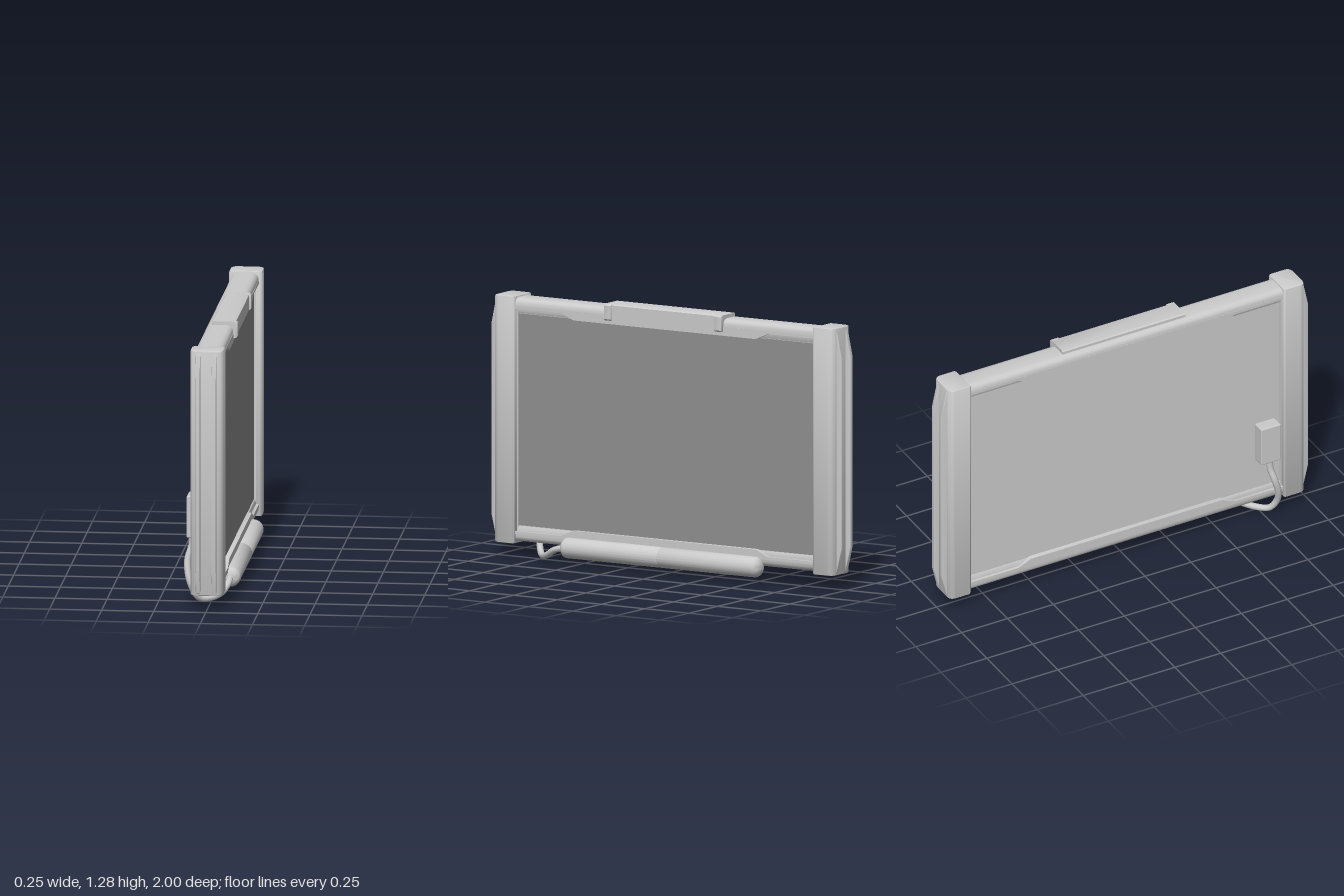
import * as THREE from 'three';
import { toCreasedNormals } from 'three/addons/utils/BufferGeometryUtils.js';
import { RoundedBoxGeometry } from 'three/addons/geometries/RoundedBoxGeometry.js';

const grey = new THREE.MeshStandardMaterial({ color: 0xcccccc });
const dark = new THREE.MeshStandardMaterial({ color: 0x909090 });

const MID = 0.677; // height of the mirror line between top and bottom rails

export function createModel() {
  const model = new THREE.Group();

  const add = (name, geometry, x = 0, y = 0, z = 0, material = grey) => {
    const mesh = new THREE.Mesh(geometry, material);
    mesh.name = name;
    mesh.position.set(x, y, z);
    model.add(mesh);
    return mesh;
  };
  const box = (name, x0, x1, y0, y1, z0, z1, material) =>
    add(name, new THREE.BoxGeometry(x1 - x0, y1 - y0, z1 - z0),
      (x0 + x1) / 2, (y0 + y1) / 2, (z0 + z1) / 2, material);
  const extrude = (points, depth, bevel = 0) => {
    const shape = new THREE.Shape(points.map(([a, b]) => new THREE.Vector2(a, b)));
    const geometry = new THREE.ExtrudeGeometry(shape, {
      depth: depth - 2 * bevel, bevelEnabled: bevel > 0, bevelSize: bevel,
      bevelThickness: bevel, bevelOffset: -bevel, bevelSegments: 2
    });
    geometry.translate(0, 0, bevel - depth / 2);
    return toCreasedNormals(geometry, 0.6);
  };
  // Outline in (z, y), thickness across x
  const sidePlate = (points, width, bevel) => extrude(points, width, bevel).rotateY(-Math.PI / 2);

  // Panel with the darker screen on its +x face
  box('panel', -0.045, 0.038, 0.12, 1.235, -0.86, 0.86);
  box('screen', 0.036, 0.042, 0.165, 1.189, -0.846, 0.846, dark);

  // Top and bottom rails: rounded bar, stepped strip and wide trapezoid lip
  for (const top of [true, false]) {
    const flip = ([a, y]) => [a, top ? y : 2 * MID - y];
    const side = top ? 'top' : 'bottom';
    const profile = [
      [-0.068, 1.222], [0.063, 1.222], [0.063, 1.243], [0.057, 1.256], [0.045, 1.264],
      [0.03, 1.267], [-0.035, 1.267], [-0.05, 1.264], [-0.062, 1.256], [-0.068, 1.243]
    ].map(flip);
    add(side + 'Rail', extrude(profile, 1.74));
    const strip = [[-0.055, 1.205], [-0.05, 1.192], [0.045, 1.192], [0.05, 1.205], [0.05, 1.23], [-0.055, 1.23]];
    add(side + 'Strip', extrude(strip.map(flip), 1.72));
    const lip = [[-0.87, 1.23], [-0.87, 1.216], [-0.59, 1.216], [-0.52, 1.186],
      [0.52, 1.186], [0.59, 1.216], [0.87, 1.216], [0.87, 1.23]];
    add(side + 'Lip', sidePlate(lip.map(flip), 0.134), -0.0025);
  }

  for (const s of [1, -1]) {
    // End cap, rounded toward the outside
    const outline = new THREE.Shape();
    outline.moveTo(-0.072, 0.852);
    outline.lineTo(0.072, 0.852);
    outline.lineTo(0.08, 0.86);
    outline.lineTo(0.08, 0.94);
    outline.quadraticCurveTo(0.078, 0.968, 0.05, 0.971);
    outline.lineTo(-0.05, 0.971);
    outline.quadraticCurveTo(-0.078, 0.968, -0.08, 0.94);
    outline.lineTo(-0.08, 0.86);
    const points = outline.getPoints(5).map(p => [p.x, -s * p.y]);
    add('endCap', extrude(points, 1.197, 0.008).rotateX(-Math.PI / 2), 0, 0.6765, 0);

    // Slim stile beside the cap
    box('stile', -0.055, 0.05, 0.15, 1.2, s * 0.855 - 0.009, s * 0.855 + 0.009);

    // Two tapering bumper ribs on the outer face
    const rib = [[0.96, 0.08], [0.972, 0.09], [1, 0.21], [1, 1.13], [0.972, 1.26], [0.96, 1.27]];
    for (const x of [-0.04, 0.038])
      add('bumperRib', sidePlate(rib.map(([z, y]) => [s * z, y]), 0.022, 0.004), x);
  }

  // Clip over the top rail, with a recessed front between its ends
  const clip = [[-0.04, 1.25], [-0.04, 1.279], [-0.034, 1.285], [0.064, 1.285], [0.074, 1.279],
    [0.074, 1.206], [0.058, 1.206], [0.058, 1.25]];
  add('clip', extrude(clip, 0.67));
  const clipEnd = [[0.055, 1.205], [0.055, 1.285], [0.074, 1.285], [0.084, 1.277], [0.084, 1.212], [0.078, 1.205]];
  for (const s of [1, -1])
    add('clipEnd', extrude(clipEnd, 0.04, 0.003), 0, 0, s * 0.315);

  // Stylus: two barrel halves meeting at a fine seam
  const barrel = (length, nose) => {
    const p = [[0, 0], [0.048, 0], [0.05, 0.003], [0.05, length - nose]];
    for (let i = 1; i <= 6; i++) {
      const a = i / 6 * Math.PI / 2;
      p.push([0.05 * Math.cos(a), length - nose + nose * Math.sin(a)]);
    }
    return toCreasedNormals(new THREE.LatheGeometry(p.map(([r, y]) => new THREE.Vector2(Math.max(r, 0), y)), 24), 0.6);
  };
  add('stylusRear', barrel(0.57, 0.035), 0.071, 0.085, 0.01).rotation.x = Math.PI / 2;
  add('stylusFront', barrel(0.57, 0.035), 0.071, 0.085, 0.01).rotation.x = -Math.PI / 2;

  // Cable from the stylus under the frame to the plug on the back
  const path = new THREE.CatmullRomCurve3([
    [0.071, 0.085, 0.56], [0.07, 0.07, 0.62], [0.045, 0.037, 0.68], [0, 0.021, 0.735],
    [-0.055, 0.031, 0.785], [-0.085, 0.085, 0.81], [-0.105, 0.15, 0.805],
    [-0.109, 0.22, 0.785], [-0.092, 0.28, 0.77], [-0.088, 0.35, 0.765]
  ].map(p => new THREE.Vector3(...p)));
  add('cable', new THREE.TubeGeometry(path, 28, 0.016, 10));
  add('plug', new RoundedBoxGeometry(0.068, 0.205, 0.108, 2, 0.006), -0.077, 0.43, 0.765);

  return model;
}
